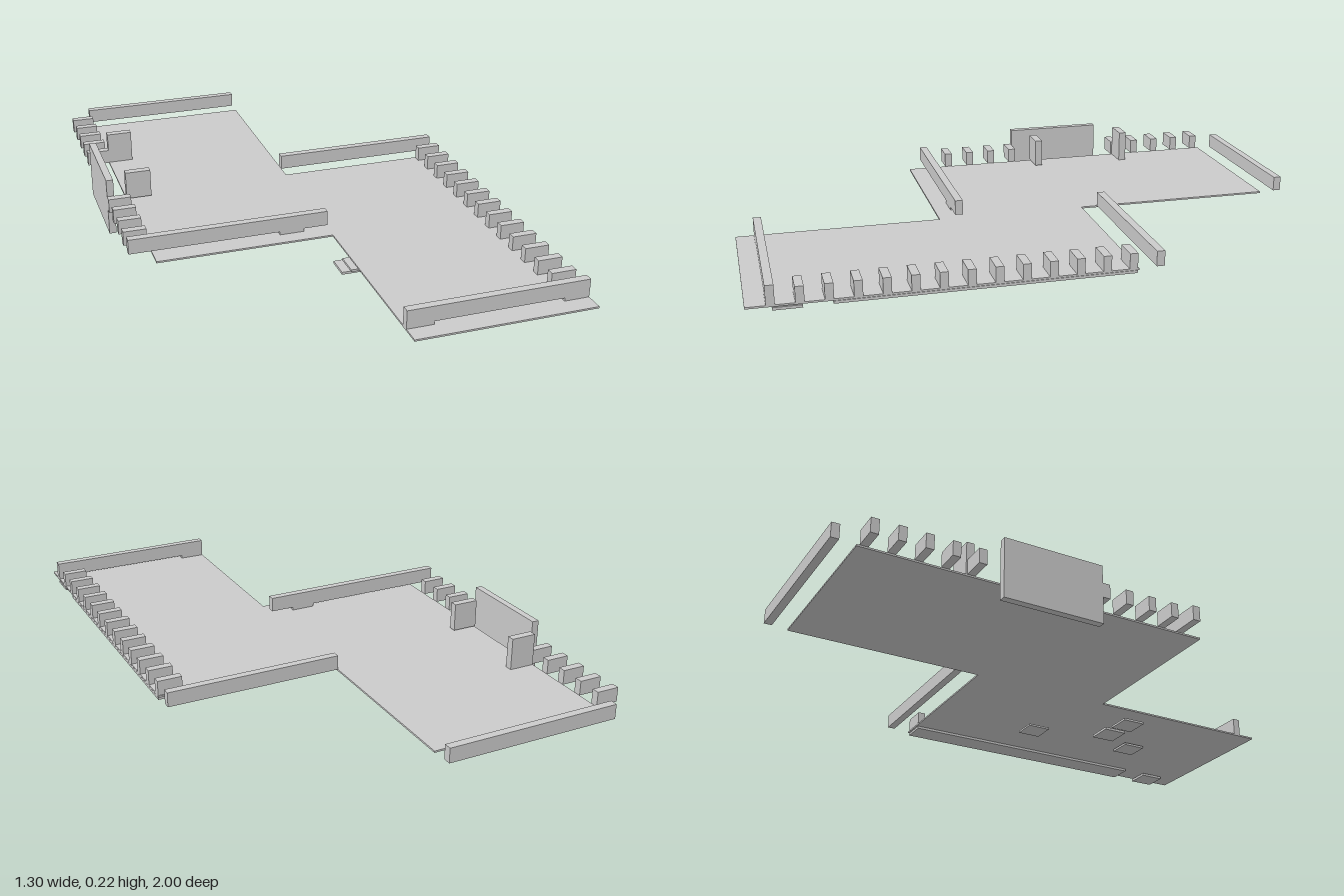
import * as THREE from 'three';

const mat = new THREE.MeshStandardMaterial({ color: 0xcccccc, flatShading: true });
const STEP = 0.0867; // spacing of the small blocks

// Box given by its limits on each axis
function slab(parent, name, x0, x1, y0, y1, z0, z1) {
  const m = new THREE.Mesh(new THREE.BoxGeometry(x1 - x0, y1 - y0, z1 - z0), mat);
  m.name = name;
  m.position.set((x0 + x1) / 2, (y0 + y1) / 2, (z0 + z1) / 2);
  parent.add(m);
  return m;
}

// Beam or block that is thin along z
function bar(parent, name, x0, x1, y0, y1, z, t = 0.027) {
  return slab(parent, name, x0, x1, y0, y1, z - t / 2, z + t / 2);
}

export function createModel() {
  const model = new THREE.Group();
  model.name = 'steppedPlatform';

  // Z-shaped floor: two offset rectangles in one outline (shape y = -z)
  const outline = new THREE.Shape([
    [-0.57, -0.30], [0.04, -0.30], [0.04, -1], [0.65, -1],
    [0.65, 0.22], [0.04, 0.22], [0.04, 0.92], [-0.57, 0.92],
  ].map(([x, y]) => new THREE.Vector2(x, y)));
  const floorGeo = new THREE.ExtrudeGeometry(outline, { depth: 0.006, bevelEnabled: false });
  floorGeo.rotateX(-Math.PI / 2);
  const floor = new THREE.Mesh(floorGeo, mat);
  floor.name = 'floor';
  floor.position.y = 0.098;
  model.add(floor);

  // Front beams, raised slightly on short feet
  const beams = new THREE.Group();
  beams.name = 'beams';
  model.add(beams);
  bar(beams, 'frontBeamLeft', 0.04, 0.65, 0.115, 0.167, 0.925);
  bar(beams, 'beamFoot', 0.04, 0.13, 0.104, 0.115, 0.925);
  bar(beams, 'beamFoot', 0.565, 0.65, 0.104, 0.115, 0.925);
  bar(beams, 'frontBeamRight', -0.65, 0.04, 0.115, 0.167, 0.23);
  bar(beams, 'beamFoot', -0.13, -0.045, 0.104, 0.115, 0.23);

  // Back beams, standing clear of the floor edge
  bar(beams, 'backBeamLeft', 0.04, 0.65, 0.104, 0.155, -0.292);
  bar(beams, 'backBeamRight', -0.57, 0.04, 0.104, 0.155, -0.987);

  // Row of blocks along the left edge
  const leftBlocks = new THREE.Group();
  leftBlocks.name = 'leftBlocks';
  model.add(leftBlocks);
  for (let k = 1; k <= 13; k++) {
    bar(leftBlocks, 'edgeBlock', 0.565, 0.65, 0.104, 0.155, 0.925 - k * STEP);
  }

  // Row of blocks along the right edge, interrupted by the doorway
  const rightBlocks = new THREE.Group();
  rightBlocks.name = 'rightBlocks';
  model.add(rightBlocks);
  for (const k of [1, 2, 3, 4, 9, 10, 11, 12, 13]) {
    bar(rightBlocks, 'edgeBlock', -0.65, -0.57, 0.104, 0.155, 0.23 - k * STEP);
  }

  // Doorway: two tall posts and an upright panel outside them
  const doorway = new THREE.Group();
  doorway.name = 'doorway';
  model.add(doorway);
  bar(doorway, 'frontPost', -0.57, -0.48, 0.108, 0.208, -0.205);
  bar(doorway, 'backPost', -0.57, -0.48, 0.104, 0.217, -0.555);
  slab(doorway, 'panel', -0.65, -0.625, 0.01, 0.217, -0.48, -0.13);

  // Thin pads under the floor
  const pads = new THREE.Group();
  pads.name = 'underPads';
  model.add(pads);
  slab(pads, 'edgeStrip', 0.565, 0.65, 0.088, 0.097, -0.215, 0.74);
  slab(pads, 'cornerPad', 0.565, 0.65, 0.086, 0.095, 0.83, 0.92);
  slab(pads, 'middlePad', 0.305, 0.39, 0.077, 0.084, 0.135, 0.22);
  slab(pads, 'middlePad', 0.305, 0.39, 0.084, 0.092, 0.57, 0.655);
  slab(pads, 'upperStep', 0.04, 0.13, 0.055, 0.063, 0.395, 0.48);
  slab(pads, 'lowerStep', 0.04, 0.13, 0, 0.009, 0.31, 0.395);

  return model;
}
